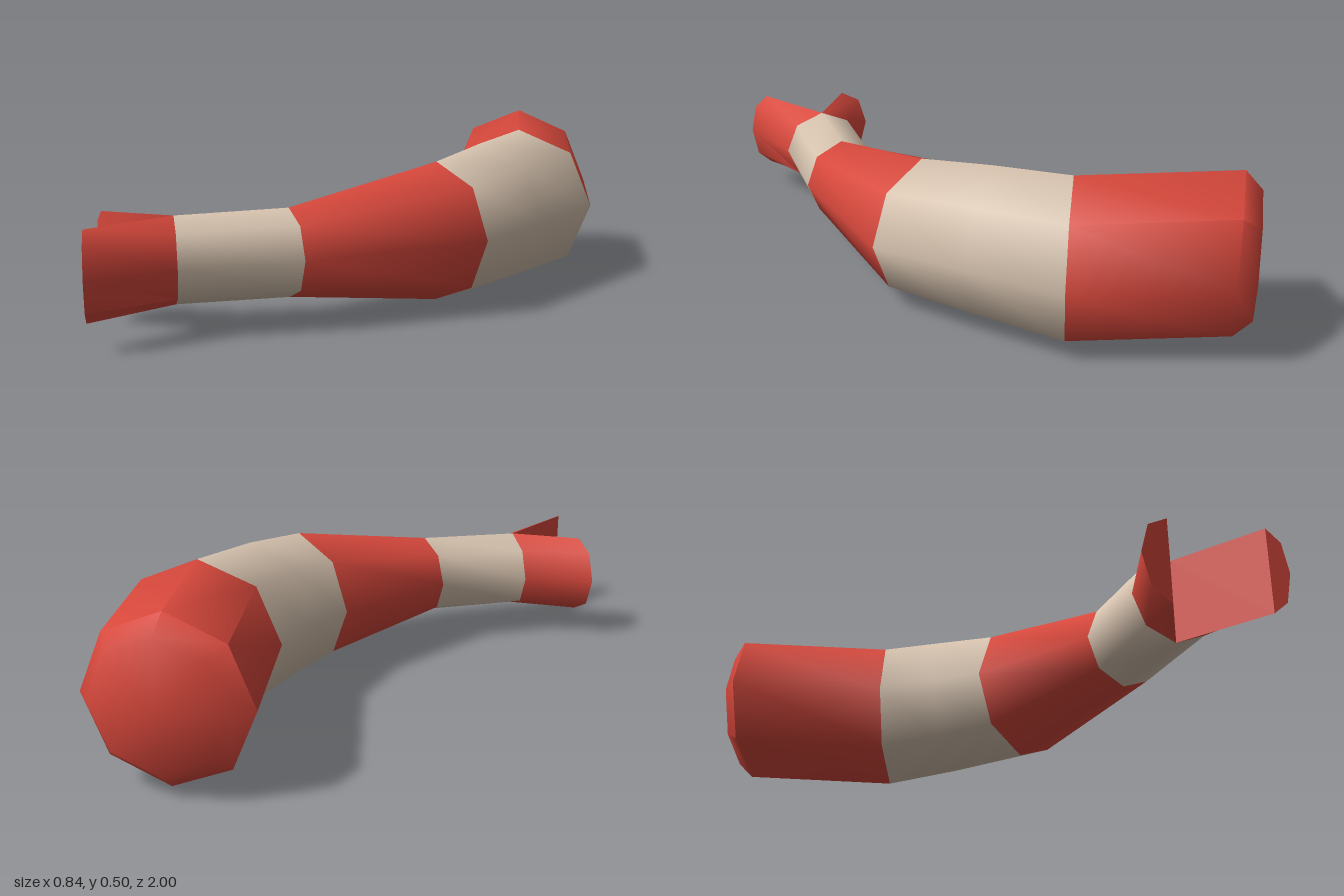
import * as THREE from 'three';
import { toCreasedNormals } from 'three/addons/utils/BufferGeometryUtils.js';

const red = new THREE.MeshStandardMaterial({ color: 0xd8483c });
red.name = 'red';
const cream = new THREE.MeshStandardMaterial({ color: 0xd6c2ae });
cream.name = 'cream';

// Elliptical loop between a left and a right point [x, z], with centre height y and half height h
function loop([lx, lz], [rx, rz], y, h, start = 0, count = 8) {
  const points = [];
  for (let k = start; k < start + count; k++) {
    const a = (k * Math.PI) / 4;
    const c = Math.cos(a) / 2;
    points.push(new THREE.Vector3(
      (lx + rx) / 2 + (rx - lx) * c,
      y + h * Math.sin(a),
      (lz + rz) / 2 + (rz - lz) * c));
  }
  return points;
}

// Skin loops from back to front; bands gives the material index of each span
function loft(loops, bands, capBack, capFront) {
  const n = loops[0].length;
  const verts = loops.flat();
  const index = [];
  const geo = new THREE.BufferGeometry();
  const cap = (i, front) => {
    const centre = new THREE.Vector3();
    loops[i].forEach((p) => centre.addScaledVector(p, 1 / n));
    const m = verts.push(centre) - 1;
    const from = index.length;
    for (let k = 0; k < n; k++) {
      const a = i * n + k, b = i * n + ((k + 1) % n);
      index.push(m, ...(front ? [a, b] : [b, a]));
    }
    geo.addGroup(from, index.length - from, 0);
  };
  for (let i = 0; i < loops.length - 1; i++) {
    const from = index.length;
    for (let k = 0; k < n; k++) {
      const a = i * n + k, b = i * n + ((k + 1) % n);
      index.push(a, b, b + n, a, b + n, a + n);
    }
    geo.addGroup(from, index.length - from, bands[i]);
  }
  if (capBack) cap(0, false);
  if (capFront) cap(loops.length - 1, true);
  geo.setFromPoints(verts);
  geo.setIndex(index);
  return toCreasedNormals(geo, Math.PI * 0.3);
}

export function createModel() {
  const group = new THREE.Group();
  group.name = 'curvedArm';
  const add = (name, geo) => {
    const mesh = new THREE.Mesh(geo, [red, cream]);
    mesh.name = name;
    group.add(mesh);
  };

  // Banded eight-sided arm, from the thick rounded end to the wrist
  add('bandedArm', loft([
    loop([-0.27, -0.845], [0.07, -1.0], 0.26, 0.19),
    loop([-0.305, -0.78], [0.13, -0.97], 0.26, 0.24),
    loop([-0.04, -0.39], [0.38, -0.61], 0.24, 0.24),
    loop([-0.005, -0.21], [0.4, -0.3], 0.233, 0.228),
    loop([0.005, -0.04], [0.415, 0], 0.222, 0.208),
    loop([-0.065, 0.38], [0.16, 0.48], 0.207, 0.127),
    loop([-0.24, 0.61], [-0.04, 0.755], 0.2, 0.124),
  ], [0, 0, 1, 1, 0, 1], true, false));

  // Two claws, each a half loop of the wrist drawn out to a thin end
  const wrist = [[-0.24, 0.61], [-0.04, 0.755], 0.2, 0.124];
  add('outerClaw', loft([
    loop(...wrist, 2, 5),
    loop([-0.425, 0.73], [-0.265, 0.81], 0.2, 0.124, 2, 5),
  ], [0], false, true));
  add('innerClaw', loft([
    loop(...wrist, -2, 5),
    loop([-0.205, 0.925], [-0.115, 1.0], 0.2, 0.124, -2, 5),
  ], [0], false, true));

  return group;
}
